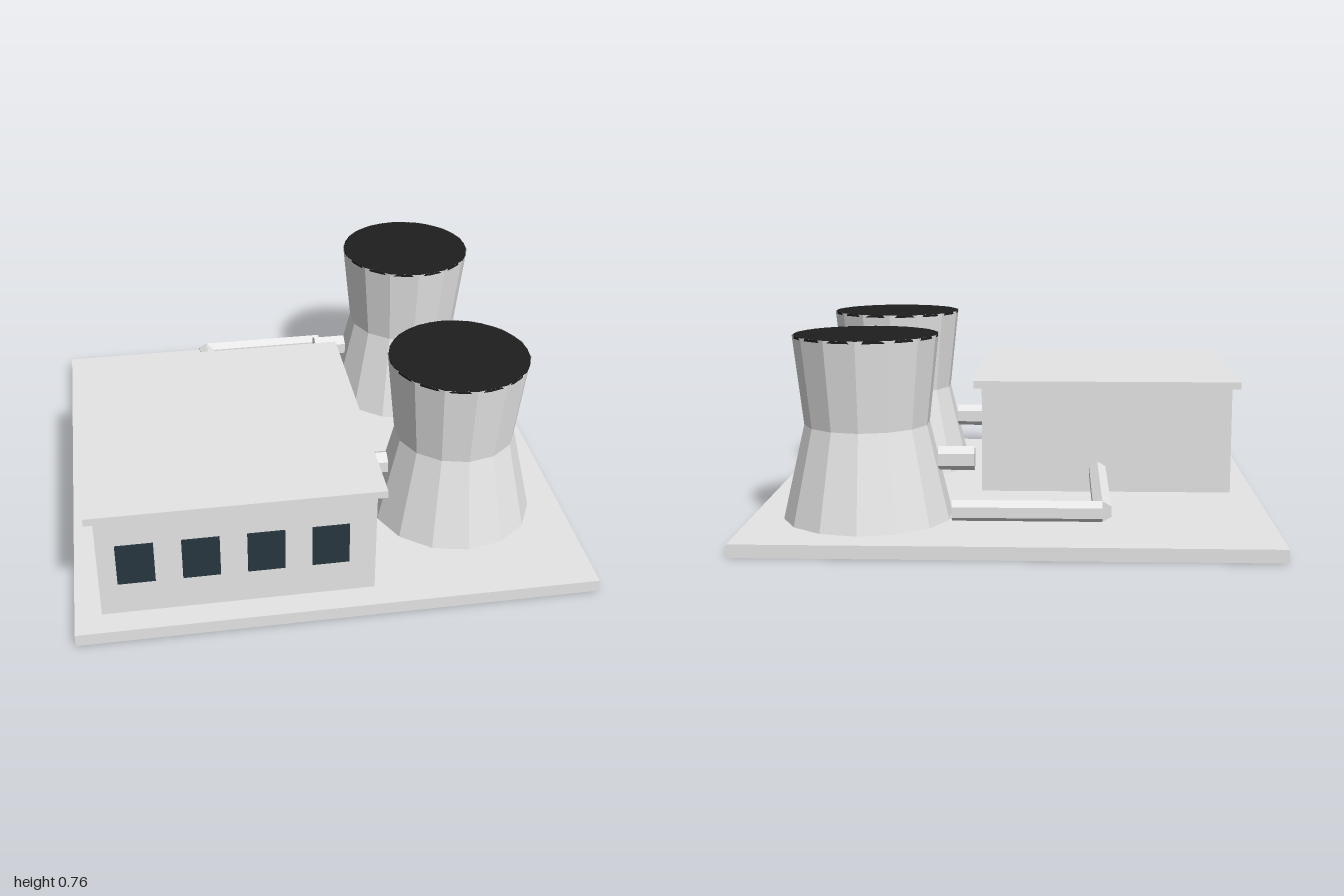
import * as THREE from 'three';

export function createModel() {
  const model = new THREE.Group();
  const mat = (name, color, side = THREE.FrontSide) => {
    const m = new THREE.MeshStandardMaterial({ color, side, flatShading: true });
    m.name = name;
    return m;
  };
  const concrete = mat('concrete', 0xe6e6e6, THREE.DoubleSide);
  const glass = mat('window glass', 0x283640);
  const opening = mat('dark opening', 0x1e1e1e);

  const add = (name, geometry, material, x, y, z, parent = model) => {
    const mesh = new THREE.Mesh(geometry, material);
    mesh.name = name;
    mesh.position.set(x, y, z);
    parent.add(mesh);
  };

  // Box without its underside
  const openBox = (w, h, d) => {
    const g = new THREE.BoxGeometry(w, h, d);
    g.setIndex([...g.index.array].filter((v, i) => i < 18 || i > 23));
    g.clearGroups();
    return g;
  };

  // Ground slab, hollow underneath
  add('groundSlab', openBox(2, 0.05, 2), concrete, 0, 0.025, 0);

  // Building with overhanging roof and four front windows
  const building = new THREE.Group();
  building.name = 'building';
  model.add(building);
  add('walls', openBox(1.035, 0.44, 1.035), concrete, -0.381, 0.27, 0.381, building);
  add('roof', new THREE.BoxGeometry(1.098, 0.03, 1.098), concrete, -0.381, 0.505, 0.379, building);
  for (let i = 0; i < 4; i++) {
    add('window', new THREE.BoxGeometry(0.14, 0.175, 0.009), glass, -0.76 + i * 0.2415, 0.278, 0.9, building);
  }

  // Six-sided pipe with a ridge on top, running along x or z
  const pipe = (name, radius, axis, from, to, y, other) => {
    const g = new THREE.CylinderGeometry(radius, radius, to - from, 6).rotateX(Math.PI / 2);
    const mid = (from + to) / 2;
    if (axis === 'x') add(name, g.rotateY(Math.PI / 2), concrete, mid, y, other);
    else add(name, g, concrete, other, y, mid);
  };

  // Cooling towers, each with a dark mouth and a feed pipe
  const profile = [[0.327, 0.05], [0.241, 0.415], [0.279, 0.759]].map(([r, y]) => new THREE.Vector2(r, y));
  for (const z of [0.412, -0.553]) {
    add('coolingTower', new THREE.LatheGeometry(profile, 14), concrete, 0.551, 0, z);
    add('towerMouth', new THREE.CylinderGeometry(0.275, 0.275, 0.0095, 32), opening, 0.551, 0.754, z);
    pipe('feedPipe', 0.047, 'x', 0.138, 0.277, 0.278, z - 0.003);
  }

  // Low pipe turning a corner behind the building
  pipe('lowPipeAcross', 0.039, 'x', -0.345, 0.204, 0.14, -0.832);
  pipe('lowPipeAlong', 0.039, 'z', -0.832, -0.136, 0.14, -0.345);

  return model;
}
